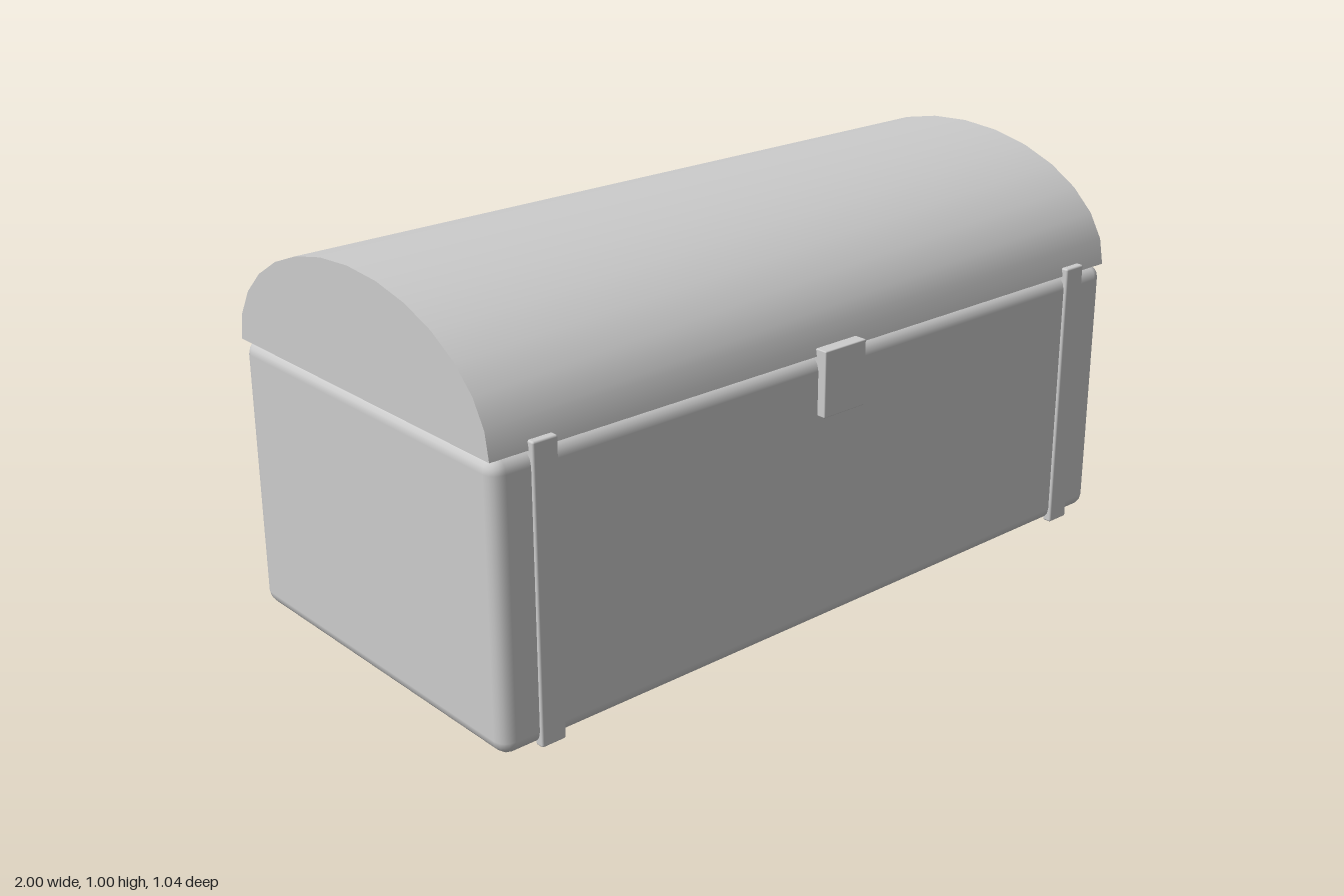
import * as THREE from 'three';
import { toCreasedNormals } from 'three/addons/utils/BufferGeometryUtils.js';
import { RoundedBoxGeometry } from 'three/addons/geometries/RoundedBoxGeometry.js';

export function createModel() {
  const chest = new THREE.Group();
  chest.name = 'chest';
  const gray = new THREE.MeshStandardMaterial({ color: 0xcccccc });
  gray.name = 'plain gray';

  const add = (name, geometry) => {
    const mesh = new THREE.Mesh(geometry, gray);
    mesh.name = name;
    chest.add(mesh);
    return mesh;
  };

  // Rounded box given by its lower and upper corners
  const block = (name, min, max, radius) => {
    const size = max.map((v, i) => v - min[i]);
    const mesh = add(name, new RoundedBoxGeometry(...size, 2, radius));
    mesh.position.set(...min.map((v, i) => (v + max[i]) / 2));
  };

  // Body with softened edges
  block('body', [-0.998, 0.003, -0.508], [0.998, 0.7, 0.495], 0.035);

  // Barrel lid: half ellipse extruded along x
  const steps = 14;
  const arc = [];
  for (let i = 0; i <= steps; i++) {
    const a = (i / steps) * Math.PI;
    arc.push(new THREE.Vector2(0.498 * Math.cos(a), 0.3 * Math.sin(a)));
  }
  const lidGeometry = new THREE.ExtrudeGeometry(new THREE.Shape(arc), { depth: 2, bevelEnabled: false });
  lidGeometry.translate(0, 0, -1).rotateY(Math.PI / 2);
  const lid = add('lid', toCreasedNormals(lidGeometry, 0.6));
  lid.position.set(0, 0.7, -0.009);

  // Upright straps, front and back, mirrored left and right
  for (const [side, x] of [['left', 0.867], ['right', -0.867]]) {
    block(side + 'FrontStrap', [x - 0.033, 0, 0.478], [x + 0.033, 0.722, 0.503], 0.005);
    block(side + 'BackStrap', [x - 0.033, 0, -0.517], [x + 0.033, 0.722, -0.492], 0.005);
  }

  // Front clasp
  block('clasp', [-0.067, 0.553, 0.48], [0.067, 0.719, 0.518], 0.003);

  return chest;
}
